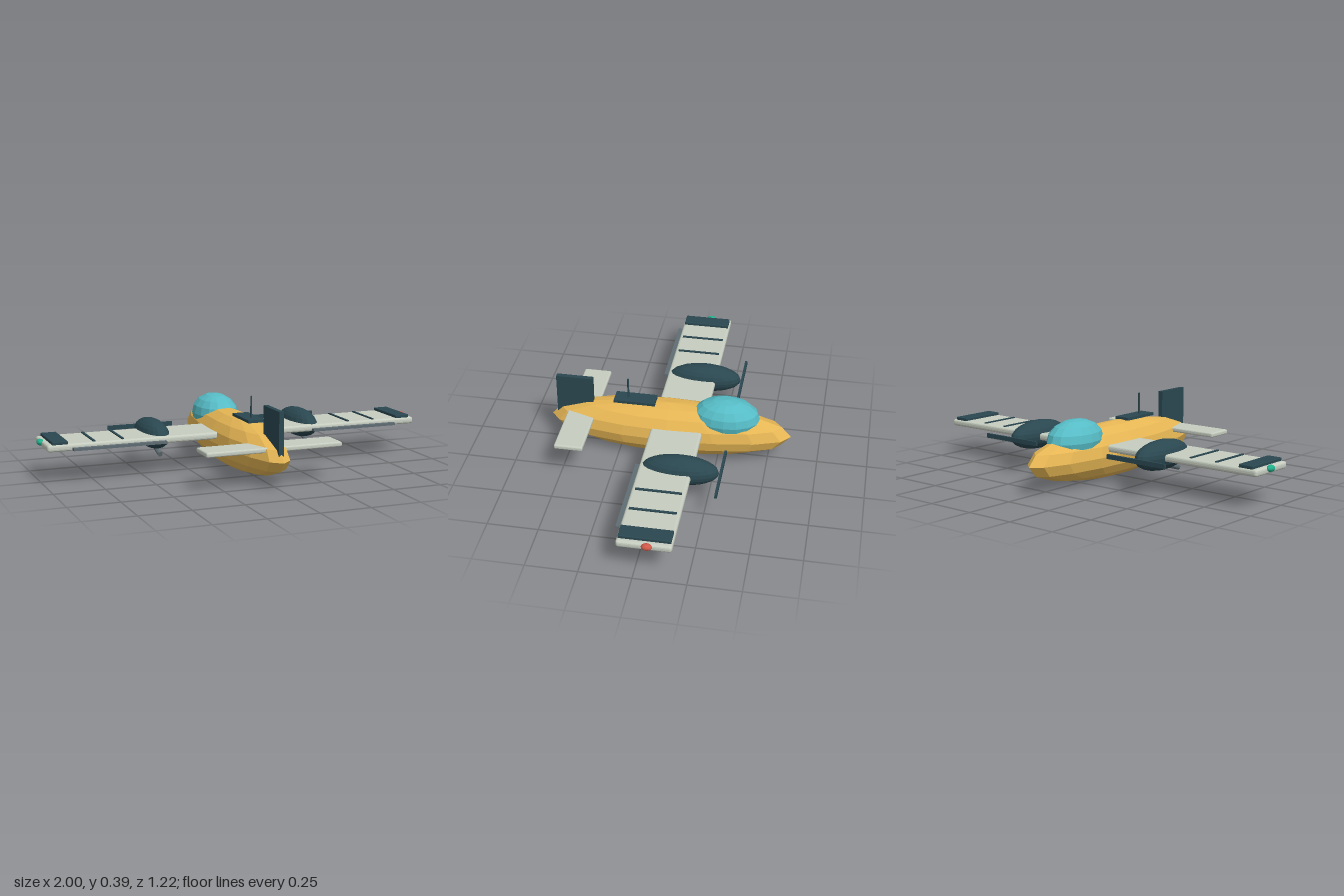
import * as THREE from 'three';
import { RoundedBoxGeometry } from 'three/addons/geometries/RoundedBoxGeometry.js';

const paint = (color) => new THREE.MeshStandardMaterial({ color, flatShading: true });
const YELLOW = paint(0xe6b654), PALE = paint(0xc6cdc0), DARK = paint(0x2a4750), GLASS = paint(0x56bcc6);
const METAL = paint(0x5f6d73), RED = paint(0xd0594a), GREEN = paint(0x20b08c);

export function createModel() {
  const model = new THREE.Group();
  model.name = 'propellerPlane';

  const add = (name, geometry, material, [x, y, z]) => {
    const mesh = new THREE.Mesh(geometry, material);
    mesh.name = name;
    mesh.position.set(x, y, z);
    model.add(mesh);
    return mesh;
  };
  const box = (name, size, material, pos) => add(name, new THREE.BoxGeometry(...size), material, pos);
  const rounded = (name, size, radius, material, pos) =>
    add(name, new RoundedBoxGeometry(...size, 2, radius), material, pos);
  const ellipsoid = (name, radii, cols, rows, material, pos) =>
    add(name, new THREE.SphereGeometry(1, cols, rows).scale(...radii), material, pos);

  // Body and canopy; the nose points to -z
  ellipsoid('fuselage', [0.138, 0.137, 0.612], 16, 8, YELLOW, [0, 0.138, 0]);
  ellipsoid('canopy', [0.112, 0.102, 0.171], 16, 8, GLASS, [0, 0.223, -0.283]);

  // Flying surfaces
  rounded('wing', [1.96, 0.035, 0.257], 0.013, PALE, [0, 0.175, -0.05]);
  rounded('tailplane', [0.69, 0.024, 0.142], 0.008, PALE, [0, 0.184, 0.448]);
  box('tailFin', [0.024, 0.21, 0.187], DARK, [0, 0.27, 0.487]);

  // Roof panel with aerial
  box('roofPanel', [0.082, 0.014, 0.21], DARK, [0, 0.276, 0.177]);
  add('aerial', new THREE.CylinderGeometry(0.005, 0.005, 0.11, 8), DARK, [0, 0.335, 0.214]);

  for (const side of [-1, 1]) {
    // Engine, propeller and exhaust
    ellipsoid('engineNacelle', [0.072, 0.073, 0.188], 20, 12, DARK, [side * 0.402, 0.176, -0.118]);
    box('propeller', [0.345, 0.022, 0.012], DARK, [side * 0.402, 0.175, -0.314]);
    const exhaust = add('exhaust', new THREE.CylinderGeometry(0.013, 0.013, 0.07, 10), METAL,
      [side * 0.402, 0.102, -0.018]);
    exhaust.rotation.x = Math.PI / 2 + 0.3;

    // Wing details
    box('flap', [0.466, 0.013, 0.04], METAL, [side * 0.626, 0.168, 0.082]);
    for (const x of [0.605, 0.748]) {
      box('wingRib', [0.012, 0.008, 0.222], DARK, [side * x, 0.194, -0.05]);
    }
    rounded('wingTipPanel', [0.077, 0.018, 0.243], 0.004, DARK, [side * 0.917, 0.198, -0.05]);
    ellipsoid('navigationLight', [0.018, 0.016, 0.026], 12, 8, side > 0 ? RED : GREEN,
      [side * 0.982, 0.183, -0.065]);
  }
  return model;
}
